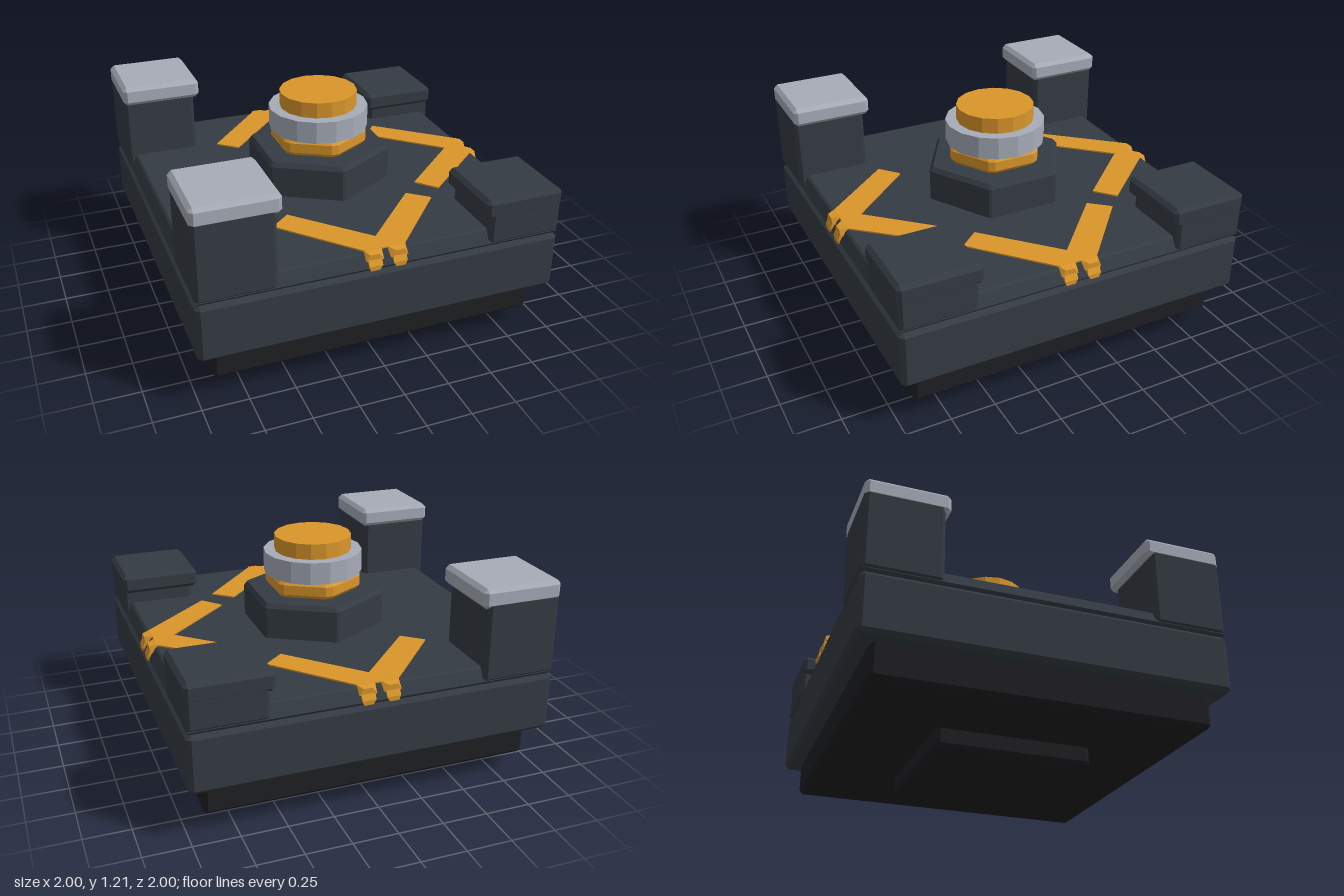
import * as THREE from 'three';
import { ConvexGeometry } from 'three/addons/geometries/ConvexGeometry.js';

const material = (color) => new THREE.MeshStandardMaterial({ color, flatShading: true });

const V = (x, y, z) => new THREE.Vector3(x, y, z);

export function createModel() {
  const model = new THREE.Group();
  const dark = material(0x343b42);
  const black = material(0x1e1f22);
  const silver = material(0xa6acb8);
  const orange = material(0xda962b);

  function add(parent, name, geometry, mat) {
    const mesh = new THREE.Mesh(geometry, mat);
    mesh.name = name;
    parent.add(mesh);
    return mesh;
  }

  // Box with every edge chamfered by c
  function chamferBox(x0, x1, y0, y1, z0, z1, c) {
    const points = [];
    for (const [x, dx] of [[x0, c], [x1, -c]])
      for (const [y, dy] of [[y0, c], [y1, -c]])
        for (const [z, dz] of [[z0, c], [z1, -c]])
          points.push(V(x, y + dy, z + dz), V(x + dx, y, z + dz), V(x + dx, y + dy, z));
    return new ConvexGeometry(points);
  }

  // Hexagonal block with trimmed corners; rings are [radius, y], corners point along z
  function hexBlock(rings, trim) {
    const points = [];
    for (const [r, y] of rings)
      for (let i = 0; i < 6; i++)
        for (const s of [-1, 1]) {
          const a = (i * Math.PI) / 3 + s * trim;
          points.push(V(r * Math.sin(a), y, r * Math.cos(a)));
        }
    return new ConvexGeometry(points);
  }

  // Stacked square base
  add(model, 'foot', chamferBox(-0.435, 0.435, 0, 0.12, -0.435, 0.435, 0.02), black);
  add(model, 'lowerPlate', chamferBox(-0.91, 0.91, 0.1, 0.3, -0.91, 0.91, 0.02), black);
  add(model, 'mainBlock', chamferBox(-1, 1, 0.28, 0.61, -1, 1, 0.025), dark);

  // Top deck with sloping sides
  const deck = [];
  for (const [h, y] of [[0.97, 0.6], [0.99, 0.625], [0.957, 0.69], [0.945, 0.7]])
    for (const x of [-h, h]) for (const z of [-h, h]) deck.push(V(x, y, z));
  add(model, 'topDeck', new ConvexGeometry(deck), dark);

  // Corner posts: tall with silver caps at -x, short with dark caps at +x
  for (const sx of [-1, 1])
    for (const sz of [-1, 1]) {
      const post = new THREE.Group();
      post.name = sx < 0 ? 'tallPost' : 'shortPost';
      const top = sx < 0 ? 1.14 : 0.88;
      const span = (s, inner, outer) => (s < 0 ? [-outer, -inner] : [inner, outer]);
      const [ax, bx] = span(sx, 0.58, 0.998), [az, bz] = span(sz, 0.58, 0.998);
      const [cx, dx] = span(sx, 0.55, 1), [cz, dz] = span(sz, 0.55, 1);
      add(post, 'postBody', chamferBox(ax, bx, 0.62, top - 0.02, az, bz, 0.02), dark);
      add(post, 'postCap', chamferBox(cx, dx, top - 0.11, top, cz, dz, 0.022), sx < 0 ? silver : dark);
      model.add(post);
    }

  // Central knob
  add(model, 'hexBase', hexBlock([[0.405, 0.69], [0.405, 0.875], [0.385, 0.9]], 0.02), dark);
  add(model, 'hexCollar',
    hexBlock([[0.25, 0.895], [0.272, 0.92], [0.272, 0.975], [0.25, 1.0]], 0.075), orange);
  const ring = add(model, 'knobRing', new THREE.CylinderGeometry(0.28, 0.28, 0.125, 16), silver);
  ring.position.y = 1.06;
  const cap = add(model, 'knobCap', new THREE.CylinderGeometry(0.218, 0.218, 0.1, 16), orange);
  cap.position.y = 1.16;

  // Chevron inlays, each arm ending in a tab folded over the deck edge
  const outline = [[0.46, 0.55], [0.35, 0.455], [0, 0.83], [0, 0.945], [0.11, 0.945]];
  const chevrons = [['frontChevron', 0], ['leftChevron', Math.PI / 2], ['backChevron', Math.PI]];
  for (const [name, turn] of chevrons) {
    const chevron = new THREE.Group();
    chevron.name = name;
    for (const s of [-1, 1]) {
      const arm = [];
      for (const [u, v] of outline) arm.push(V(s * u, 0.69, v), V(s * u, 0.708, v));
      add(chevron, 'arm', new ConvexGeometry(arm), orange);

      const fold = [];
      for (const [a, b, y, v] of [[0.015, 0.115, 0.708, 0.94], [0.045, 0.095, 0.7, 0.985],
        [0.02, 0.115, 0.665, 0.985], [0.02, 0.115, 0.665, 0.93]])
        for (const u of [a, b]) fold.push(V(s * u, y, v));
      add(chevron, 'fold', new ConvexGeometry(fold), orange);

      const tab = [];
      for (const [a, b, y, v] of [[0.03, 0.105, 0.69, 0.975], [0.03, 0.105, 0.64, 1],
        [0.045, 0.095, 0.615, 1], [0.03, 0.105, 0.69, 0.93], [0.045, 0.095, 0.615, 0.97]])
        for (const u of [a, b]) tab.push(V(s * u, y, v));
      add(chevron, 'tab', new ConvexGeometry(tab), orange);
    }
    chevron.rotation.y = turn;
    model.add(chevron);
  }

  return model;
}
